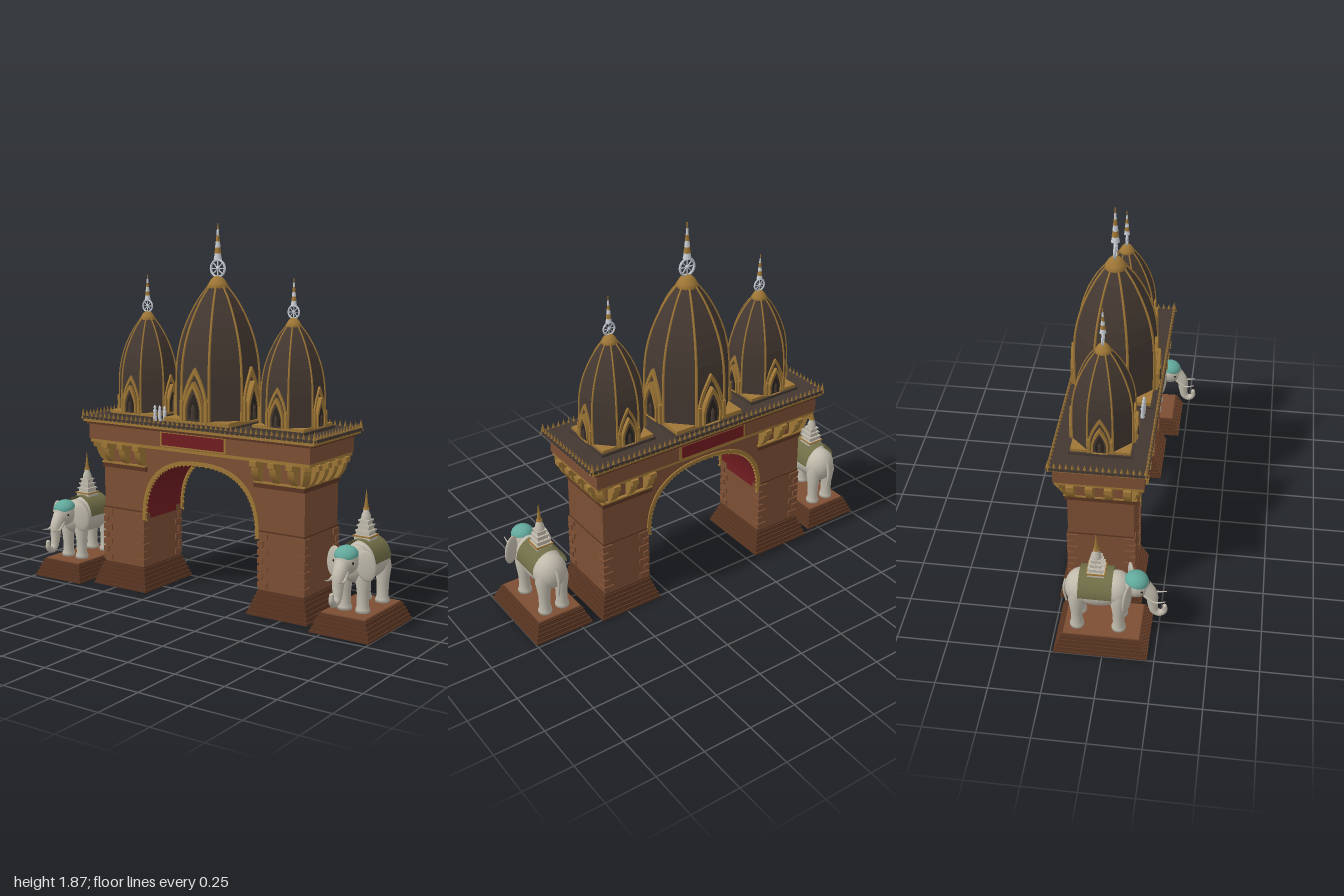
import * as THREE from 'three';
import { mergeGeometries } from 'three/addons/utils/BufferGeometryUtils.js';

const mat = (name, color, side = THREE.FrontSide) => {
  const m = new THREE.MeshStandardMaterial({ color, side });
  m.name = name;
  return m;
};
const M = {
  brick: mat('terracotta', 0x7c4e33), wood: mat('dark brown', 0x5a3622),
  slate: mat('roof slate', 0x443831), gold: mat('old gold', 0x9e7636),
  red: mat('deep red', 0x701c20), ivory: mat('ivory', 0xc0baac),
  teal: mat('teal', 0x62a99c), olive: mat('olive', 0x706e47, THREE.DoubleSide),
  silver: mat('silver', 0xc6ccd4), dark: mat('niche shadow', 0x2c241f),
};
const ZC = -0.055; // gate centre line

function add(parent, name, geo, material, x = 0, y = 0, z = 0) {
  const m = new THREE.Mesh(geo, material);
  m.name = name;
  m.position.set(x, y, z);
  parent.add(m);
  return m;
}
const group = (parent, name, x = 0, y = 0, z = 0) => {
  const g = new THREE.Group();
  g.name = name;
  g.position.set(x, y, z);
  parent.add(g);
  return g;
};
const box = (w, h, d, x = 0, y = 0, z = 0) => new THREE.BoxGeometry(w, h, d).translate(x, y, z);
const ball = (rx, ry, rz) => new THREE.SphereGeometry(1, 24, 16).scale(rx, ry, rz);
const lathe = (pts, n = 20, start = 0) =>
  new THREE.LatheGeometry(pts.map(p => new THREE.Vector2(p[0], p[1])), n, start);
const flat = (geo) => {
  const g = geo.toNonIndexed();
  g.computeVertexNormals();
  return g;
};
const polygon = (pts) => new THREE.Shape(pts.map(p => new THREE.Vector2(p[0], p[1])));
const extrude = (shape, depth) =>
  new THREE.ExtrudeGeometry(shape, { depth, bevelEnabled: false, curveSegments: 8 });

// Tube whose radius runs from r0 to r1
function taperedTube(pts, r0, r1, seg = 24, sides = 12) {
  const curve = new THREE.CatmullRomCurve3(pts.map(p => new THREE.Vector3(...p)));
  const g = new THREE.TubeGeometry(curve, seg, 1, sides, false);
  const v = new THREE.Vector3(), p = g.attributes.position;
  for (let i = 0; i < p.count; i++) {
    const t = Math.floor(i / (sides + 1)) / seg, c = curve.getPointAt(t);
    v.fromBufferAttribute(p, i).sub(c).multiplyScalar(r0 + (r1 - r0) * t).add(c);
    p.setXYZ(i, v.x, v.y, v.z);
  }
  return g;
}

// Stepped base, narrowing upwards
function steps(hw, hd, inset, height, n) {
  const parts = [], h = height / n;
  for (let i = 0; i < n; i++) {
    const k = inset * i / (n - 1);
    parts.push(box(2 * (hw - k), h * 0.6, 2 * (hd - k), 0, h * (i + 0.3), 0));
    parts.push(box(2 * (hw - k) - 0.012, h * 0.4, 2 * (hd - k) - 0.012, 0, h * (i + 0.8), 0));
  }
  return mergeGeometries(parts);
}

// Arch outline from right to left, shrunk by d
function archPoints(d = 0, n = 36) {
  const pts = [];
  for (let i = 0; i <= n; i++) {
    const a = Math.PI * i / n, c = Math.cos(a);
    pts.push([Math.sign(c) * (0.35 - d) * Math.abs(c) ** 0.8,
      0.37 + (0.335 - d) * Math.max(0, Math.sin(a)) ** 0.8]);
  }
  return pts;
}
const archBand = (d, depth) =>
  extrude(polygon([...archPoints(-0.001), ...archPoints(d).reverse()]), depth);

function pointedArch(w, h) {
  const s = new THREE.Shape();
  s.moveTo(-w, 0).lineTo(w, 0).lineTo(w, h * 0.38);
  s.quadraticCurveTo(w * 0.8, h * 0.68, 0, h).quadraticCurveTo(-w * 0.8, h * 0.68, -w, h * 0.38);
  return s;
}

// Gold gabled niche, facing +z
function buildNiche(parent, angle) {
  const g = group(parent, 'niche');
  g.rotation.y = angle;
  [[0.072, 0.262, 0.165, 0.04], [0.054, 0.195, 0.175, 0.045]].forEach(([w, h, z, d]) => {
    const s = pointedArch(w, h);
    s.holes.push(pointedArch(w - 0.012, h - 0.03));
    add(g, 'nicheFrame', extrude(s, d), M.gold, 0, 0, z);
    add(g, 'nichePanel', extrude(pointedArch(w - 0.008, h - 0.02), d - 0.012), M.slate, 0, 0, z);
  });
  add(g, 'nicheOpening', extrude(pointedArch(0.028, 0.12), 0.006), M.dark, 0, 0.012, 0.208);
  add(g, 'nicheFigure', lathe([[0.014, 0], [0.01, 0.035], [0.012, 0.05], [0, 0.075]], 8), M.slate, 0, 0.014, 0.212);
  for (const s of [-1, 1]) {
    add(g, 'nichePost', box(0.016, 0.1, 0.05), M.gold, s * 0.072, 0.05, 0.19);
    for (let i = 0; i < 4; i++) {
      const t = i / 4;
      add(g, 'nicheSpike', new THREE.ConeGeometry(0.007, 0.03, 4), M.gold,
        s * 0.074 * (1 - t), 0.11 + 0.155 * t, 0.195);
    }
  }
}

function buildTower(parent, x, size) {
  const g = group(parent, 'tower', x, 0.915, ZC);
  g.scale.setScalar(size);
  const profile = [[0.211, 0], [0.211, 0.12], [0.209, 0.22], [0.202, 0.3], [0.186, 0.38],
    [0.163, 0.45], [0.132, 0.52], [0.092, 0.59], [0.042, 0.655]];
  add(g, 'towerBase', box(0.385, 0.02, 0.385), M.gold, 0, -0.006, 0);
  add(g, 'towerFoot', box(0.41, 0.03 / size, 0.41), M.slate, 0, -0.016 - 0.015 / size, 0);
  add(g, 'dome', flat(lathe(profile, 8, Math.PI / 8)), M.slate);
  for (let i = 0; i < 8; i++) {
    const rib = taperedTube(profile.map(([r, y]) => [0, y, r]), 0.008, 0.005, 24, 6);
    add(g, 'domeRib', rib, M.gold).rotation.y = Math.PI / 8 + i * Math.PI / 4;
  }
  for (let i = 0; i < 4; i++) buildNiche(g, i * Math.PI / 2);
  add(g, 'collar', lathe([[0.05, 0.635], [0.054, 0.65], [0.046, 0.662], [0.036, 0.68], [0.02, 0.695], [0, 0.7]], 16), M.gold);
  // wheel and spire
  const wheel = group(g, 'wheel', 0, 0.735, 0);
  add(wheel, 'rim', new THREE.TorusGeometry(0.041, 0.006, 8, 28), M.silver);
  add(wheel, 'hub', ball(0.011, 0.011, 0.009), M.silver);
  for (let i = 0; i < 4; i++)
    add(wheel, 'spoke', box(0.082, 0.005, 0.005), M.silver).rotation.z = i * Math.PI / 4;
  const n = 6, y0 = 0.778, y1 = 0.955, h = (y1 - y0) / n;
  for (let i = 0; i < n; i++) {
    const r = 0.021 * (1 - i / n);
    add(g, 'spireRing', new THREE.CylinderGeometry(r * 0.72, r, h, 14),
      i % 2 ? M.gold : M.silver, 0, y0 + h * (i + 0.5), 0);
  }
}

function buildGate(root) {
  const g = group(root, 'gate');
  // wall with arched opening
  const outline = [[-0.6, 0.1], [-0.6, 0.77], [0.6, 0.77], [0.6, 0.1], [0.35, 0.1], ...archPoints(), [-0.35, 0.1]];
  add(g, 'archWall', extrude(polygon(outline), 0.32), M.brick, 0, 0, ZC - 0.16);
  add(g, 'archLining', archBand(0.006, 0.31), M.red, 0, 0, ZC - 0.155);
  for (const s of [-1, 1]) {
    add(g, 'archTrim', archBand(0.018, 0.014), M.gold, 0, 0, ZC + s * 0.16 - 0.007);
    const beads = archPoints(0.02, 44).map(([x, y]) =>
      new THREE.OctahedronGeometry(0.009).translate(x, y, ZC + s * 0.16));
    add(g, 'archBeads', mergeGeometries(beads), M.gold);
  }
  // piers
  for (const s of [-1, 1]) {
    const p = group(g, 'pier', s * 0.475, 0, ZC);
    add(p, 'pierPlinth', steps(0.17, 0.205, 0.035, 0.12, 6), M.wood);
    add(p, 'pierBand', box(0.256, 0.007, 0.326), M.wood, 0, 0.41, 0);
    add(p, 'capitalBand', box(0.28, 0.022, 0.345, -s * 0.012, 0.635, 0), M.wood);
    add(p, 'capitalLine', box(0.28, 0.008, 0.352, -s * 0.01, 0.65, 0), M.gold);
    const quoins = [];
    for (let i = 0; i < 7; i++)
      for (const a of [-1, 1]) for (const b of [-1, 1]) {
        const w = i % 2 ? 0.03 : 0.055;
        quoins.push(box(w, 0.03, w, a * (0.132 - w / 2), 0.145 + i * 0.04, b * (0.167 - w / 2)));
      }
    add(p, 'quoins', mergeGeometries(quoins), M.brick);
  }
  // flared brackets under the beam
  const bs = new THREE.Shape();
  bs.moveTo(-0.01, 0).lineTo(0.015, 0).quadraticCurveTo(0.05, 0.03, 0.055, 0.075)
    .lineTo(0.07, 0.08).lineTo(0.07, 0.105).lineTo(-0.01, 0.105);
  const bracketGeo = extrude(bs, 0.036).translate(0, 0, -0.018);
  const bracket = (x, z, turn) => {
    add(g, 'bracket', bracketGeo, M.gold, x, 0.653, z).rotation.y = turn;
  };
  for (const s of [-1, 1]) {
    for (const x of [0.35, 0.45, 0.55])
      for (const f of [-1, 1]) bracket(s * x, ZC + f * 0.155, -f * Math.PI / 2);
    for (const z of [-0.135, -0.045, 0.045, 0.135])
      bracket(s * 0.598, ZC + z, s > 0 ? 0 : Math.PI);
    for (const f of [-1, 1]) bracket(s * 0.59, ZC + f * 0.15, Math.atan2(-f, s));
  }
  // beam, cornice and roof
  add(g, 'beamLine', box(1.3, 0.018, 0.42), M.gold, 0, 0.764, ZC);
  add(g, 'beam', box(1.31, 0.08, 0.43), M.brick, 0, 0.812, ZC);
  add(g, 'corniceLower', box(1.335, 0.012, 0.445), M.wood, 0, 0.856, ZC);
  add(g, 'cornice', box(1.365, 0.014, 0.46), M.gold, 0, 0.869, ZC);
  add(g, 'roof', box(1.39, 0.014, 0.47), M.slate, 0, 0.883, ZC);
  for (const s of [-1, 1]) {
    add(g, 'signFrame', box(0.39, 0.078, 0.008), M.gold, 0, 0.815, ZC + s * 0.218);
    add(g, 'sign', box(0.368, 0.062, 0.008), M.red, 0, 0.815, ZC + s * 0.221);
  }
  const spikes = [];
  const spike = (x, z, k = 1) => spikes.push(
    new THREE.ConeGeometry(0.012 * k, 0.045 * k, 4).translate(x, 0.875 + 0.0225 * k, ZC + z));
  for (let i = 0; i <= 48; i++)
    for (const f of [-1, 1]) spike(-0.685 + 1.37 * i / 48, f * 0.226, i % 48 ? 1 : 1.3);
  for (let i = 1; i < 16; i++)
    for (const s of [-1, 1]) spike(s * 0.685, -0.226 + 0.452 * i / 16);
  add(g, 'roofSpikes', mergeGeometries(spikes), M.gold);
  for (const x of [-0.27, -0.24, -0.21])
    add(g, 'roofFigure', lathe([[0.011, 0], [0.008, 0.04], [0.01, 0.055], [0.005, 0.063], [0.008, 0.072], [0, 0.083]], 10),
      M.silver, x, 0.888, 0.107);
  buildTower(g, 0, 1);
  buildTower(g, 0.435, 0.73);
  buildTower(g, -0.435, 0.73);
}

function buildElephant(root, x) {
  const g = group(root, 'elephantStatue', x, 0, 0);
  add(g, 'plinth', steps(0.155, 0.225, 0.03, 0.09, 5), M.wood, 0, 0, -0.01);
  add(g, 'plinthTop', box(0.225, 0.006, 0.365), M.brick, 0, 0.092, -0.01);
  add(g, 'body', ball(0.088, 0.095, 0.15), M.ivory, 0, 0.315, -0.035);
  add(g, 'rump', ball(0.082, 0.093, 0.075), M.ivory, 0, 0.308, -0.118);
  add(g, 'shoulders', ball(0.078, 0.09, 0.075), M.ivory, 0, 0.315, 0.055);
  add(g, 'head', ball(0.056, 0.065, 0.065), M.ivory, 0, 0.35, 0.145);
  add(g, 'headCloth', new THREE.SphereGeometry(1, 24, 10, 0, Math.PI * 2, 0, Math.PI / 2).scale(0.056, 0.045, 0.058),
    M.teal, 0, 0.375, 0.148).rotation.x = 0.2;
  add(g, 'trunk', taperedTube([[0, 0.345, 0.18], [0, 0.29, 0.218], [0, 0.23, 0.225], [0, 0.185, 0.235],
    [0, 0.172, 0.26], [0, 0.19, 0.282], [0, 0.22, 0.282]], 0.038, 0.011), M.ivory);
  add(g, 'trunkTip', ball(0.011, 0.009, 0.011), M.ivory, 0, 0.22, 0.282);
  add(g, 'tail', taperedTube([[0, 0.35, -0.185], [0, 0.28, -0.2], [0, 0.2, -0.19]], 0.009, 0.005, 10, 8), M.ivory);
  for (const s of [-1, 1]) {
    const ear = add(g, 'ear', ball(0.046, 0.074, 0.012), M.ivory, s * 0.083, 0.328, 0.112);
    ear.rotation.set(0, s * 0.35, s * 0.15);
    add(g, 'tusk', taperedTube([[s * 0.026, 0.31, 0.185], [s * 0.036, 0.275, 0.235], [s * 0.034, 0.283, 0.288]], 0.009, 0.002, 12, 8), M.ivory);
    add(g, 'eye', ball(0.004, 0.006, 0.006), M.dark, s * 0.05, 0.35, 0.178);
    for (const z of [0.068, -0.133])
      add(g, 'leg', lathe([[0, 0.093], [0.035, 0.093], [0.034, 0.11], [0.028, 0.125], [0.029, 0.19], [0.04, 0.27], [0.03, 0.32]], 18),
        M.ivory, s * 0.047, 0, z);
  }
  // blanket draped over the back, with tiered shrine
  const cloth = new THREE.CylinderGeometry(1, 1, 0.16, 24, 1, true, Math.PI / 2, Math.PI);
  add(g, 'blanket', cloth.rotateX(Math.PI / 2).scale(0.094, 0.102, 1), M.olive, 0, 0.319, -0.04);
  const shrine = group(g, 'shrine', 0, 0.41, -0.04);
  [0.045, 0.038, 0.032, 0.027].forEach((r, i) => {
    add(shrine, 'tier', box(2 * r - 0.01, 0.024, 2 * r - 0.01), M.ivory, 0, 0.012 + i * 0.024, 0);
    add(shrine, 'tierEdge', box(2 * r, 0.007, 2 * r), i ? M.ivory : M.gold, 0, 0.02 + i * 0.024, 0);
  });
  add(shrine, 'bell', lathe([[0.024, 0.096], [0.022, 0.115], [0.014, 0.135], [0.011, 0.15]]), M.ivory);
  add(shrine, 'bellRing', new THREE.CylinderGeometry(0.013, 0.016, 0.008, 16), M.gold, 0, 0.147, 0);
  add(shrine, 'spire', new THREE.ConeGeometry(0.011, 0.095, 14), M.gold, 0, 0.197, 0);
}

export function createModel() {
  const root = new THREE.Group();
  root.name = 'ceremonialGate';
  buildGate(root);
  for (const s of [-1, 1]) buildElephant(root, s * 0.845);
  return root;
}
